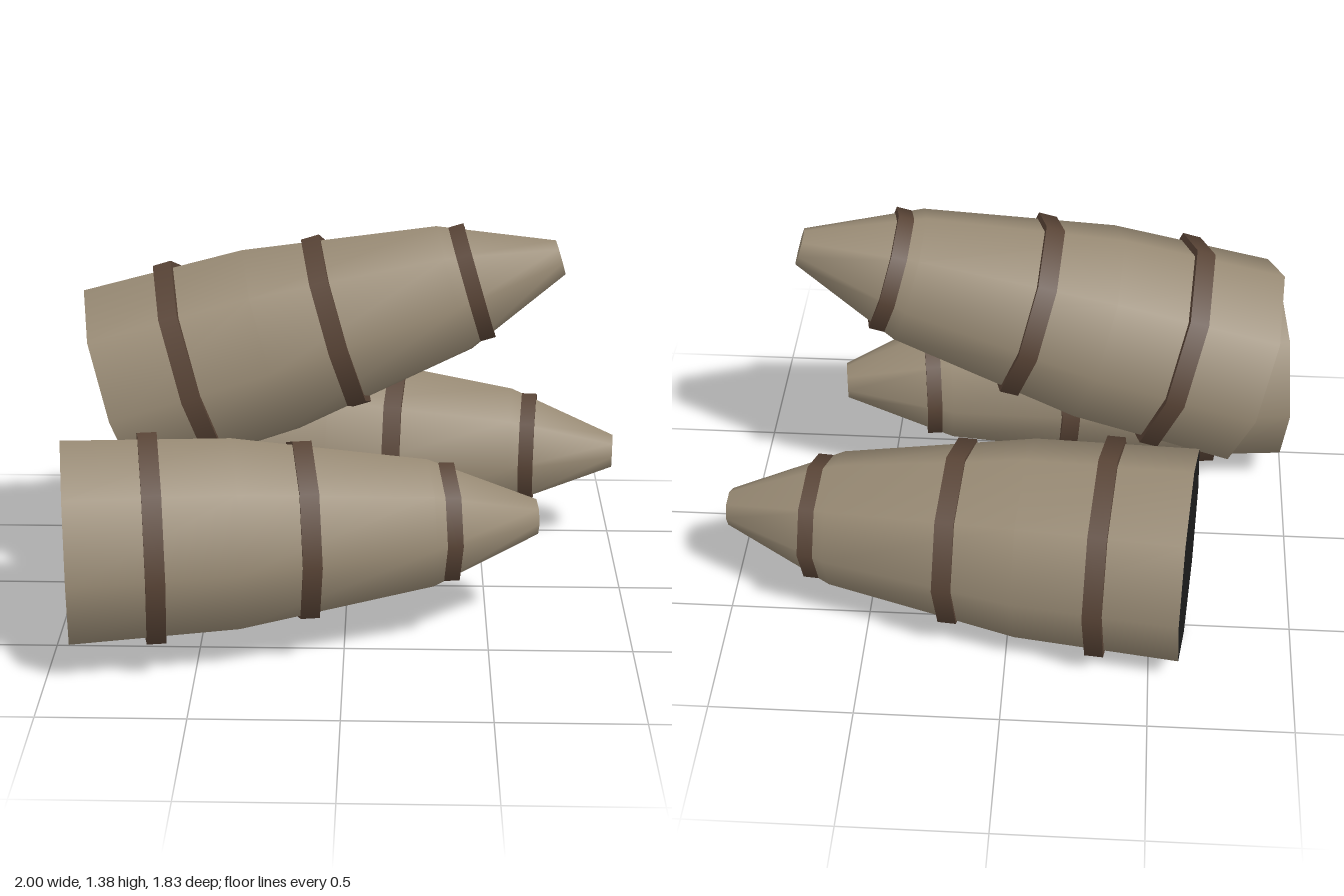
import * as THREE from 'three';

const SIDES = 8;
const LENGTH = 1.625;

const shellMaterial = new THREE.MeshStandardMaterial({ color: 0x988a74 });
shellMaterial.name = 'dull tan';
const bandMaterial = new THREE.MeshStandardMaterial({ color: 0x594436 });
bandMaterial.name = 'dark brown';
const baseMaterial = new THREE.MeshStandardMaterial({ color: 0x1c1c1c });
baseMaterial.name = 'near black';

// Radius along the length, from base to nose
const profile = [[0.367, 0], [0.347, 0.57], [0.235, 1.24], [0.065, LENGTH]]
  .map(([r, t]) => new THREE.Vector2(r, t));

// Distance from the base and radius of each band
const bands = [[0.29, 0.382], [0.81, 0.324], [1.3, 0.218]];
const BAND_WIDTH = 0.065;

function addPart(group, name, geometry, material) {
  const mesh = new THREE.Mesh(geometry, material);
  mesh.name = name;
  group.add(mesh);
}

// One tapered eight-sided shell lying along +x, with its base at the origin
function createShell(name) {
  const shell = new THREE.Group();
  shell.name = name;

  const body = new THREE.LatheGeometry(profile, SIDES).rotateZ(-Math.PI / 2);
  addPart(shell, 'body', body, shellMaterial);

  const nose = new THREE.CircleGeometry(0.065, SIDES)
    .rotateY(Math.PI / 2).translate(LENGTH, 0, 0);
  addPart(shell, 'noseTip', nose, shellMaterial);

  const base = new THREE.CircleGeometry(0.367, SIDES).rotateY(-Math.PI / 2);
  addPart(shell, 'base', base, baseMaterial);

  for (const [t, r] of bands) {
    const band = new THREE.CylinderGeometry(r, r, BAND_WIDTH, SIDES)
      .rotateZ(-Math.PI / 2).translate(t, 0, 0);
    addPart(shell, 'band', band, bandMaterial);
  }
  return shell;
}

export function createModel() {
  const model = new THREE.Group();
  model.name = 'shellPile';

  // Base centre, turn about y and upward tilt of each shell
  const placements = [
    ['backShell', [-0.625, 0.385, -0.55], -0.096, 0],
    ['frontShell', [-0.945, 0.427, 0.55], 0.149, 0],
    ['topShell', [-0.815, 0.8, 0.035], 0.046, 0.287],
  ];
  for (const [name, position, turn, tilt] of placements) {
    const shell = createShell(name);
    shell.position.set(...position);
    shell.rotation.set(0, turn, tilt, 'YZX');
    model.add(shell);
  }
  return model;
}
